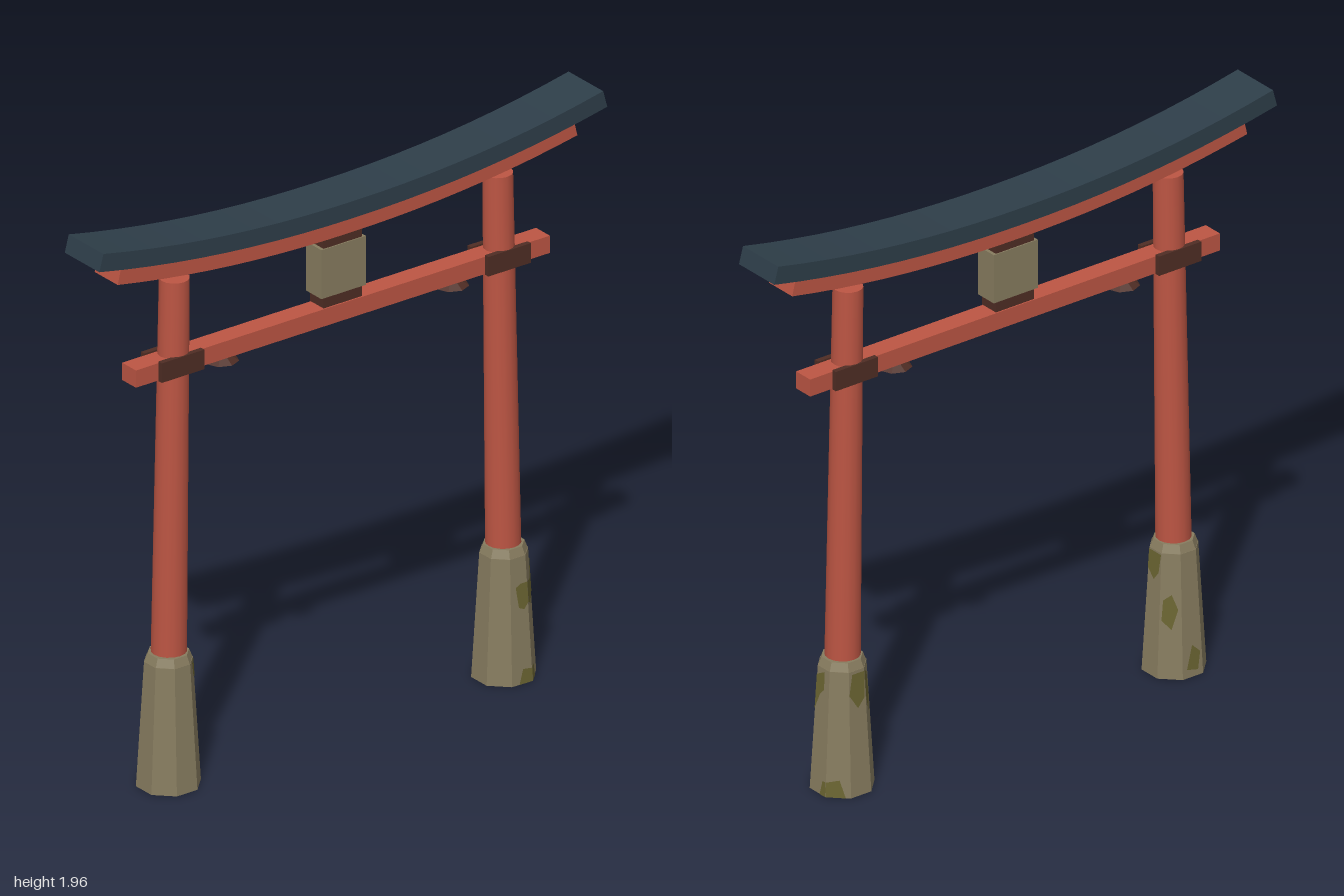
import * as THREE from 'three';

const mat = (name, color) => {
  const m = new THREE.MeshStandardMaterial({ color });
  m.name = name;
  return m;
};

export function createModel() {
  const red = mat('vermilion paint', 0xbc5543);
  const slate = mat('slate roof', 0x2e3e49);
  const brown = mat('dark wood', 0x4f2d24);
  const stone = mat('stone', 0x877c5f);
  const moss = mat('moss', 0x6b6532);
  for (const m of [stone, slate, brown, moss]) m.flatShading = true;

  const model = new THREE.Group();
  model.name = 'gate';
  const add = (name, geo, material, x = 0, y = 0, z = 0, parent = model) => {
    const mesh = new THREE.Mesh(geo, material);
    mesh.name = name;
    mesh.position.set(x, y, z);
    parent.add(mesh);
    return mesh;
  };
  const box = (name, w, h, d, material, x, y, z = 0) =>
    add(name, new THREE.BoxGeometry(w, h, d), material, x, y, z);

  // Upswept beam: a curved strip with slanted ends, extruded in depth
  const sweptBeam = (name, half, bottom, thick, rise, slant, depth, material) => {
    const n = 20, low = [], high = [];
    for (let i = 0; i <= n; i++) {
      const t = (i / n) * 2 - 1;
      const y = bottom + rise * Math.abs(t) ** 2.1;
      low.push(new THREE.Vector2(t * half, y));
      high.push(new THREE.Vector2(t * (half - slant), y + thick));
    }
    const shape = new THREE.Shape([...low, ...high.reverse()]);
    const geo = new THREE.ExtrudeGeometry(shape, { depth, bevelEnabled: false });
    geo.translate(0, 0, -depth / 2);
    add(name, geo, material);
  };
  sweptBeam('roofBeam', 1.0, 1.806, 0.059, 0.099, 0.016, 0.18, slate);
  sweptBeam('upperBeam', 0.905, 1.741, 0.058, 0.081, 0.014, 0.12, red);

  // Lower tie beam
  box('tieBeam', 1.63, 0.06, 0.072, red, 0, 1.46);

  // Central tablet with its wooden blocks
  box('tablet', 0.175, 0.17, 0.08, stone, 0, 1.615);
  box('tabletTopBlock', 0.152, 0.05, 0.072, brown, 0, 1.722);
  box('tabletBottomBlock', 0.152, 0.04, 0.072, brown, 0, 1.513);

  // Moss patch laid on one face of the eight-sided base, as (across, height) points
  const apothem = (y) => 0.0975 - 0.0565 * y;
  const mossPatch = (parent, face, pts) => {
    const geo = new THREE.ShapeGeometry(new THREE.Shape(pts.map(([u, y]) => new THREE.Vector2(u, y))));
    const p = geo.attributes.position;
    for (let i = 0; i < p.count; i++) {
      const r = apothem(p.getY(i));
      p.setXYZ(i, p.getX(i) * r * Math.tan(Math.PI / 8), p.getY(i), r + 0.0015);
    }
    geo.rotateY((face * Math.PI) / 4);
    geo.computeVertexNormals();
    add('mossPatch', geo, moss, 0, 0, 0, parent);
  };
  const patches = {
    '1': [
      [0, [[-0.4, 0.33], [-0.1, 0.26], [0.5, 0.25], [1, 0.27], [1, 0.34], [0.2, 0.34]]],
      [0, [[-0.3, 0], [1, 0], [1, 0.045], [0.1, 0.05]]],
      [1, [[-1, 0], [0.1, 0], [-0.3, 0.05], [-1, 0.045]]],
      [1, [[-1, 0.27], [0, 0.25], [1, 0.28], [1, 0.4], [0.3, 0.33], [-1, 0.34]]],
      [2, [[-1, 0.28], [-0.3, 0.34], [0.3, 0.36], [0.2, 0.42], [-1, 0.4]]],
      [2, [[0.3, 0], [1, 0], [1, 0.05], [0.6, 0.05]]],
      [3, [[-1, 0], [0.6, 0], [0.1, 0.06], [-1, 0.05]]],
      [4, [[-1, 0.35], [0, 0.3], [0.8, 0.33], [1, 0.42], [-0.6, 0.42]]],
      [5, [[-1, 0.33], [-0.2, 0.27], [0.5, 0.32], [0.2, 0.4], [-1, 0.42]]],
    ],
    '-1': [
      [1, [[0, 0.42], [0.3, 0.37], [1, 0.36], [1, 0.425], [0.4, 0.425]]],
      [2, [[-1, 0.36], [0, 0.33], [0.7, 0.36], [1, 0.425], [-1, 0.425]]],
      [3, [[-0.8, 0.2], [0.1, 0.17], [0.7, 0.24], [0.1, 0.29], [-0.7, 0.27]]],
      [4, [[-0.6, 0.03], [0.5, 0.02], [0.8, 0.08], [0, 0.11]]],
    ],
  };

  const octagon = (top, bottom, h) => {
    const c = Math.cos(Math.PI / 8);
    return new THREE.CylinderGeometry(top / c, bottom / c, h, 8).rotateY(Math.PI / 8);
  };

  for (const s of [1, -1]) {
    // Leaning post
    const postGeo = new THREE.CylinderGeometry(0.049, 0.0575, 1.29, 16);
    const p = postGeo.attributes.position;
    for (let i = 0; i < p.count; i++) p.setX(i, p.getX(i) - s * 0.0165 * p.getY(i));
    add('post', postGeo, red, s * 0.6475, 1.105);

    // Eight-sided stone foot with a sloped cap
    const foot = new THREE.Group();
    foot.name = 'foot';
    foot.position.x = s * 0.66;
    model.add(foot);
    add('footBody', octagon(apothem(0.43), apothem(0), 0.43), stone, 0, 0.215, 0, foot);
    add('footCap', octagon(0.062, 0.072, 0.028), stone, 0, 0.444, 0, foot);
    for (const [face, pts] of patches[s]) mossPatch(foot, face, pts);

    // Clamp plates on both sides of the tie beam
    for (const z of [1, -1]) box('clampPlate', 0.168, 0.068, 0.018, brown, s * 0.643, 1.462, z * 0.045);

    // Small flared disc under the tie beam
    add('disc', new THREE.CylinderGeometry(0.028, 0.058, 0.02, 8), brown, s * 0.453, 1.421);
  }
  return model;
}
